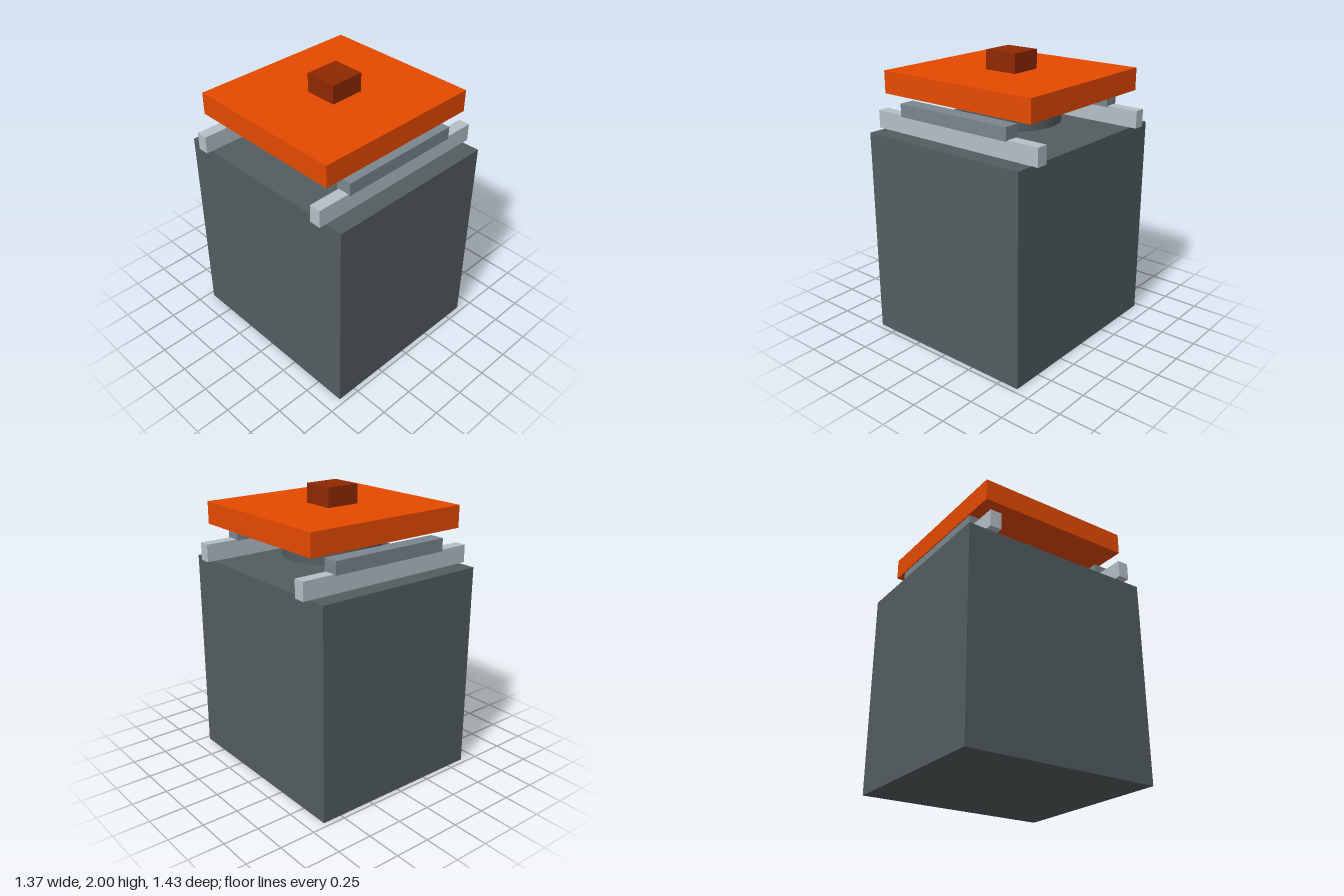
import * as THREE from 'three';

const mat = (name, color) => {
  const m = new THREE.MeshStandardMaterial({ color });
  m.name = name;
  return m;
};

export function createModel() {
  const group = new THREE.Group();
  const darkGrey = mat('dark grey', 0x535d60);
  const lightGrey = mat('light grey', 0xb4bfc7);
  const midGrey = mat('mid grey', 0x7a868f);
  const orange = mat('orange', 0xe64a00);
  const rust = mat('rust', 0x8f2900);

  // Box centred on x, resting between heights y0 and y1
  const box = (name, width, y0, y1, depth, material, z = 0) => {
    const mesh = new THREE.Mesh(new THREE.BoxGeometry(width, y1 - y0, depth), material);
    mesh.name = name;
    mesh.position.set(0, (y0 + y1) / 2, z);
    group.add(mesh);
  };

  // Main block
  box('body', 1.278, 0, 1.465, 1.428, darkGrey);

  // Rails with a shorter bar on each, front and back
  for (const [side, s] of [['front', 1], ['back', -1]]) {
    box(side + 'Rail', 1.37, 1.465, 1.588, 0.082, lightGrey, s * 0.545);
    box(side + 'Bar', 0.904, 1.582, 1.672, 0.108, midGrey, s * 0.545);
  }

  // Round hub under the top plate
  const hub = new THREE.Mesh(new THREE.CylinderGeometry(0.342, 0.342, 0.19, 48), darkGrey);
  hub.name = 'hub';
  hub.position.y = 1.62;
  group.add(hub);

  // Top plate and its square knob
  box('topPlate', 1.242, 1.712, 1.867, 1.153, orange);
  box('knob', 0.248, 1.867, 2, 0.232, rust);

  return group;
}
